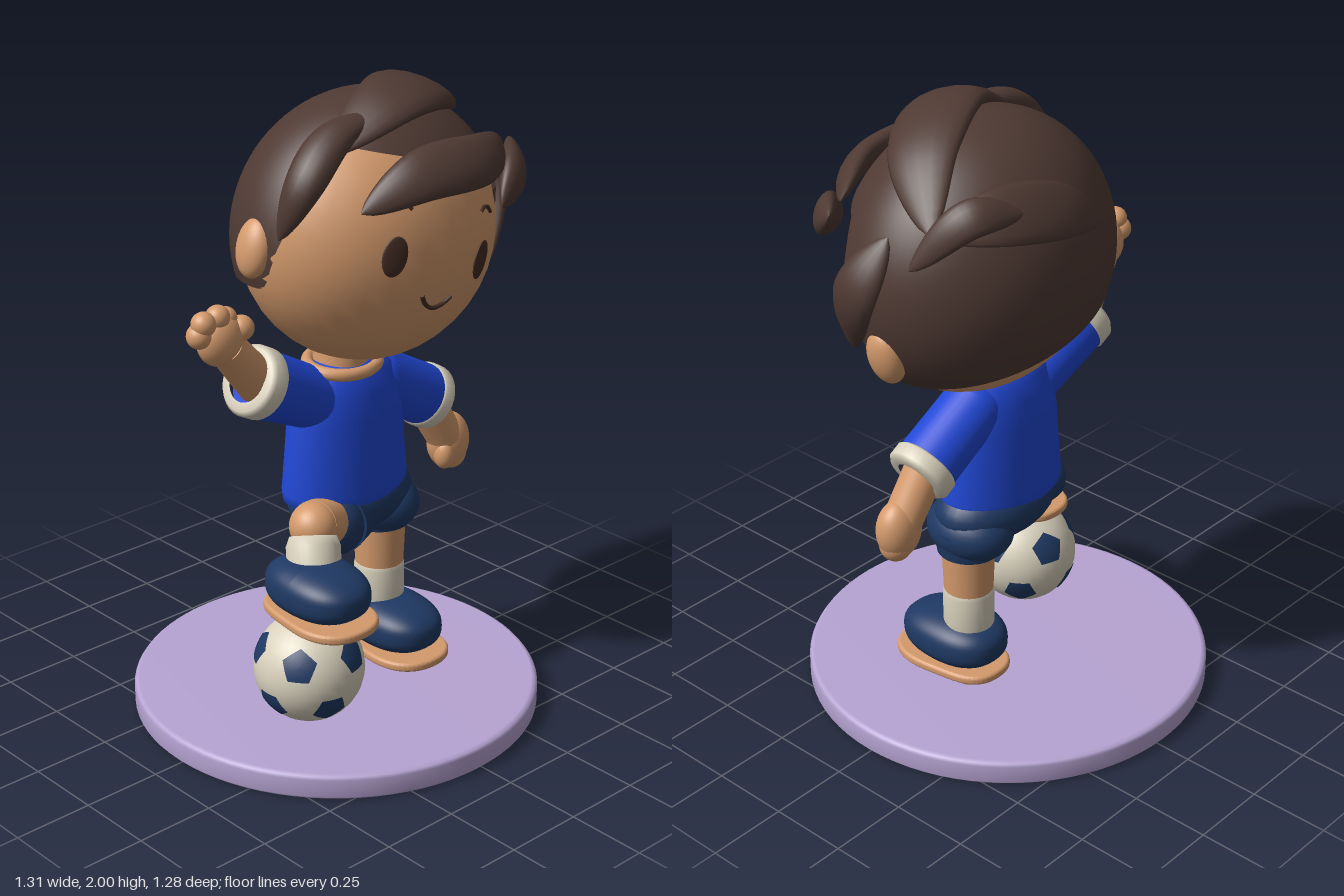
import * as THREE from 'three';

const mat = (name, color) => Object.assign(new THREE.MeshStandardMaterial({ color }), { name });
const V = (x, y, z) => new THREE.Vector3(x, y, z);

export function createModel() {
  const root = new THREE.Group();
  root.name = 'figurine';
  const skin = mat('skin', 0xd49a6c), hair = mat('hair brown', 0x4f3a33), dark = mat('face dark', 0x442c24);
  const blue = mat('shirt blue', 0x2148d6), navy = mat('navy', 0x1f3963), cream = mat('cream', 0xd9d1bd);
  const lilac = mat('base lilac', 0xb7a4d3);

  const add = (name, geo, m, parent = root) => {
    const mesh = new THREE.Mesh(geo, m);
    mesh.name = name;
    parent.add(mesh);
    return mesh;
  };
  const ball = (name, m, p, r, parent = root) => {
    const mesh = add(name, new THREE.SphereGeometry(1, 32, 20), m, parent);
    mesh.position.set(...p);
    mesh.scale.set(...(Array.isArray(r) ? r : [r, r, r]));
    return mesh;
  };
  // aligns a y-axis mesh with the line from a to b
  const span = (mesh, a, b) => {
    const d = V(...b).sub(V(...a));
    mesh.position.copy(V(...a)).addScaledVector(d, 0.5);
    mesh.quaternion.setFromUnitVectors(V(0, 1, 0), d.normalize());
    return mesh;
  };
  const limb = (name, m, a, b, ra, rb) =>
    span(add(name, new THREE.CylinderGeometry(rb, ra, V(...a).distanceTo(V(...b)), 32), m), a, b);
  // ring with a soft rectangular section
  const cuff = (name, a, b, r) => {
    const h = V(...a).distanceTo(V(...b)) / 2;
    const pts = [[r - 0.04, -h], [r - 0.012, -h], [r, -h * 0.6], [r, h * 0.6], [r - 0.012, h], [r - 0.04, h]];
    return span(add(name, new THREE.LatheGeometry(pts.map(p => new THREE.Vector2(...p)), 32), cream), a, b);
  };

  // display base
  const rim = [[0, 0], [0.628, 0], [0.638, 0.01], [0.638, 0.066], [0.632, 0.075], [0.62, 0.08], [0, 0.08]];
  add('base', new THREE.LatheGeometry(rim.map(p => new THREE.Vector2(...p)), 80), lilac).position.x = -0.018;

  // head, tilted toward its left
  const head = new THREE.Group();
  head.name = 'head';
  head.position.set(0.125, 1.52, -0.015);
  head.rotation.z = -0.25;
  root.add(head);
  const R = V(0.43, 0.4, 0.335);
  ball('skull', skin, [0, 0, 0], R.toArray(), head);
  const onFace = (x, y, lift = 0) => V(x, y, R.z * Math.sqrt(1 - (x / R.x) ** 2 - (y / R.y) ** 2) + lift);
  for (const s of [-1, 1]) {
    ball('ear', skin, [s * 0.43, -0.075, -0.01], [0.045, 0.09, 0.062], head);
    const eye = ball('eye', dark, onFace(s * 0.18, -0.02).toArray(), [0.04, 0.06, 0.008], head);
    eye.rotation.set(0.04, s * 0.34, 0);
    const brow = [-0.035, -0.012, 0.012, 0.035].map(d => onFace(s * 0.18 + d, 0.137 - d * d * 14, 0.002));
    add('eyebrow', new THREE.TubeGeometry(new THREE.CatmullRomCurve3(brow), 12, 0.006, 6), dark, head);
  }
  const smile = [-0.062, -0.035, 0, 0.035, 0.062].map(d => onFace(0.01 + d, -0.167 + d * d * 10, 0.002));
  add('mouth', new THREE.TubeGeometry(new THREE.CatmullRomCurve3(smile), 20, 0.007, 6), dark, head);

  // hair cap: ellipsoid whose lower edge rises over the face
  const C = V(0.447, 0.428, 0.36);
  const cap = new THREE.SphereGeometry(1, 72, 28);
  const pos = cap.attributes.position, uv = cap.attributes.uv, nor = cap.attributes.normal;
  for (let i = 0; i < pos.count; i++) {
    const phi = uv.getX(i) * Math.PI * 2, dx = -Math.cos(phi), dz = Math.sin(phi);
    const k = THREE.MathUtils.smoothstep(Math.acos(THREE.MathUtils.clamp(dz, -1, 1)), 0.95, 1.6);
    const row = Math.floor(i / 73), end = Math.acos(THREE.MathUtils.lerp(0.26, -0.195, k) / C.y);
    const th = end * Math.min(row / 27, 1), q = row === 28 ? 0.88 : 1;
    const p = V(Math.sin(th) * dx, Math.cos(th), Math.sin(th) * dz);
    const n = p.clone().divide(C).normalize();
    p.multiply(C);
    pos.setXYZ(i, p.x * q, p.y, p.z * q);
    nor.setXYZ(i, n.x, n.y, n.z);
  }
  // last row of the sphere is only triangulated on one side, so show both faces
  const capHair = hair.clone();
  hair.side = THREE.DoubleSide;
  capHair.copy(hair);
  add('hairCap', cap, hair, head);

  // leaf-shaped locks laid around the head
  const lock = (name, pts, width, thick) => {
    const curve = new THREE.CatmullRomCurve3(pts.map(p => V(...p)));
    const N = 24, M = 16, verts = [], idx = [];
    for (let i = 0; i <= N; i++) {
      const p = curve.getPoint(i / N), t = curve.getTangent(i / N);
      const n = p.clone().sub(head.position);
      n.addScaledVector(t, -n.dot(t)).normalize();
      const b = n.clone().cross(t), s = Math.max(0.004, Math.sin(Math.PI * i / N)) ** 0.65;
      for (let j = 0; j < M; j++) {
        const a = j / M * Math.PI * 2;
        verts.push(...p.clone().addScaledVector(b, width * s * Math.cos(a))
          .addScaledVector(n, thick * s * Math.sin(a)).toArray());
        if (i < N) {
          const q = i * M + j, r = i * M + (j + 1) % M;
          idx.push(q, r, q + M, r, r + M, q + M);
        }
      }
    }
    const g = new THREE.BufferGeometry();
    g.setAttribute('position', new THREE.Float32BufferAttribute(verts, 3));
    g.setIndex(idx);
    g.computeVertexNormals();
    add(name, g, hair);
  };
  lock('topLock', [[-0.17, 1.83, 0.13], [0.1, 1.945, 0.11], [0.33, 1.9, 0.0], [0.5, 1.75, -0.18]], 0.12, 0.045);
  lock('fringe', [[-0.14, 1.68, 0.24], [0.04, 1.765, 0.295], [0.28, 1.77, 0.295], [0.51, 1.76, 0.15]], 0.085, 0.042);
  lock('rightTempleLock', [[-0.31, 1.6, 0.08], [-0.26, 1.76, 0.13], [-0.14, 1.87, 0.12], [0.02, 1.92, 0.13]], 0.065, 0.045);
  lock('leftTempleLock', [[0.36, 1.61, 0.31], [0.47, 1.68, 0.25], [0.575, 1.74, 0.13]], 0.065, 0.035);
  lock('leftSideLock', [[0.55, 1.73, -0.07], [0.615, 1.56, 0.0], [0.54, 1.34, 0.09]], 0.075, 0.035);
  lock('backLock', [[0.5, 1.75, -0.18], [0.34, 1.78, -0.28], [0.1, 1.74, -0.32], [-0.16, 1.64, -0.275]], 0.09, 0.025);
  lock('crownLock', [[0.32, 1.81, -0.355], [0.46, 1.82, -0.29], [0.575, 1.67, -0.17]], 0.055, 0.025);

  // neck, shirt and collar
  limb('neck', skin, [0.015, 1.06, -0.02], [0.03, 1.25, -0.02], 0.088, 0.085);
  const body = [[0, 0.69], [0.205, 0.69], [0.222, 0.7], [0.225, 0.73], [0.214, 0.85], [0.205, 0.96], [0.19, 1.04], [0.165, 1.1], [0.13, 1.13], [0.08, 1.14]];
  const shirt = add('shirt', new THREE.LatheGeometry(body.map(p => new THREE.Vector2(...p)), 48), blue);
  shirt.position.set(0.035, 0, -0.018);
  shirt.scale.z = 0.65;
  const collar = add('collar', new THREE.TorusGeometry(0.115, 0.02, 12, 40), skin);
  collar.rotation.x = Math.PI / 2 + 0.1;
  collar.scale.y = 0.85;
  collar.position.set(0.018, 1.125, -0.01);

  // lowered left arm
  ball('leftShoulder', blue, [0.165, 1.03, -0.02], 0.095);
  limb('leftSleeve', blue, [0.165, 1.03, -0.02], [0.375, 0.91, -0.02], 0.095, 0.098);
  cuff('leftCuff', [0.355, 0.922, -0.02], [0.41, 0.89, -0.02], 0.104);
  limb('leftForearm', skin, [0.36, 0.91, -0.015], [0.455, 0.75, 0], 0.062, 0.06);
  ball('leftHand', skin, [0.467, 0.735, 0], [0.075, 0.095, 0.062]);
  ball('leftThumb', skin, [0.425, 0.705, 0.025], [0.032, 0.05, 0.035]);
  ball('leftFingers', skin, [0.48, 0.69, 0], [0.052, 0.055, 0.05]);

  // raised right arm
  ball('rightShoulder', blue, [-0.095, 1.03, -0.02], 0.095);
  limb('rightSleeve', blue, [-0.095, 1.03, -0.02], [-0.305, 1.135, -0.02], 0.095, 0.105);
  cuff('rightCuff', [-0.285, 1.125, -0.02], [-0.35, 1.16, -0.02], 0.11);
  limb('rightForearm', skin, [-0.31, 1.14, -0.02], [-0.455, 1.3, 0.01], 0.066, 0.056);
  ball('rightHand', skin, [-0.475, 1.325, 0.015], [0.078, 0.078, 0.055]);
  for (const [x, y, z, r] of [[-0.55, 1.355, 0.012, 0.038], [-0.54, 1.39, 0.02, 0.037], [-0.49, 1.4, 0.022, 0.036], [-0.45, 1.385, 0.01, 0.033], [-0.41, 1.35, 0.03, 0.038]])
    ball('rightFinger', skin, [x, y, z], r);

  // shorts and legs
  ball('shortsHips', navy, [0.06, 0.67, -0.02], [0.225, 0.115, 0.15]);
  ball('shortsLeftLeg', navy, [0.175, 0.615, -0.018], [0.12, 0.1, 0.145]);
  limb('shortsLeftHem', navy, [0.18, 0.54, -0.018], [0.18, 0.63, -0.018], 0.1, 0.115);
  limb('shortsRightLeg', navy, [0.04, 0.64, -0.01], [-0.07, 0.635, 0.045], 0.115, 0.11);
  ball('shortsRightHem', navy, [-0.065, 0.635, 0.04], [0.1, 0.11, 0.105]);
  limb('leftThigh', skin, [0.183, 0.4, -0.016], [0.183, 0.6, -0.016], 0.077, 0.085);
  cuff('leftSock', [0.183, 0.24, -0.016], [0.183, 0.425, -0.016], 0.08);
  limb('rightThigh', skin, [-0.06, 0.64, 0.04], [-0.195, 0.68, 0.095], 0.08, 0.075);
  ball('rightKnee', skin, [-0.195, 0.677, 0.095], 0.075);
  cuff('rightSock', [-0.255, 0.52, 0.165], [-0.212, 0.655, 0.11], 0.083);

  // boots: rounded upper, flared sole and studs
  const boot = (name, x, y, z) => {
    const g = new THREE.Group();
    g.name = name;
    g.position.set(x, y, z);
    root.add(g);
    const upper = new THREE.SphereGeometry(1, 40, 28), p = upper.attributes.position;
    const soft = (v, e) => Math.sign(v) * Math.abs(v) ** e;
    for (let i = 0; i < p.count; i++) {
      const zz = soft(p.getZ(i), 0.85), top = p.getY(i) > 0 ? 1 - 0.12 * Math.max(zz, 0) : 1;
      p.setXYZ(i, soft(p.getX(i), 0.85) * 0.126, soft(p.getY(i), 0.75) * 0.082 * top + 0.112, zz * 0.178);
    }
    upper.computeVertexNormals();
    add('upper', upper, navy, g);
    const s = new THREE.Shape();
    s.moveTo(0, -0.18);
    s.bezierCurveTo(0.1, -0.18, 0.1, -0.1, 0.115, 0);
    s.bezierCurveTo(0.135, 0.12, 0.09, 0.185, 0, 0.185);
    s.bezierCurveTo(-0.09, 0.185, -0.135, 0.12, -0.115, 0);
    s.bezierCurveTo(-0.1, -0.1, -0.1, -0.18, 0, -0.18);
    const sole = new THREE.ExtrudeGeometry(s, { depth: 0.008, bevelSize: 0.011, bevelThickness: 0.011, bevelSegments: 4, curveSegments: 16 });
    sole.rotateX(Math.PI / 2);
    add('sole', sole, skin, g).position.set(0, 0.031, 0.005);
    for (const [sx, sz] of [[-0.06, 0.1], [0.06, 0.1], [-0.055, -0.1], [0.055, -0.1]])
      add('stud', new THREE.CylinderGeometry(0.025, 0.018, 0.025, 16), skin, g).position.set(sx, 0.002, sz);
  };
  boot('leftBoot', 0.185, 0.098, 0.04);
  boot('rightBoot', -0.265, 0.42, 0.19);

  // football: sphere with twelve curved five-sided patches
  const football = new THREE.Group();
  football.name = 'football';
  football.position.set(-0.265, 0.252, 0.15);
  root.add(football);
  const r = 0.17, A = V(0.28, 0.44, 0.85).normalize();
  ball('ballSkin', cream, [0, 0, 0], r, football);
  const B = V(-0.25, -0.44, 0.86).projectOnPlane(A).normalize();
  const dirs = [A];
  for (let i = 0; i < 5; i++)
    dirs.push(A.clone().multiplyScalar(1 / Math.sqrt(5)).addScaledVector(B.clone().applyAxisAngle(A, i * Math.PI * 0.4), 2 / Math.sqrt(5)));
  dirs.push(...dirs.map(d => d.clone().negate()));
  const patch = new THREE.RingGeometry(0.0001, 1, 40, 5), pp = patch.attributes.position;
  for (let i = 0; i < pp.count; i++) {
    const x = pp.getX(i), y = pp.getY(i), step = Math.PI * 0.4;
    const a = (Math.atan2(y, x) + Math.PI * 4 + 1e-6) % step - step / 2;
    const q = 0.34 * Math.cos(step / 2) / Math.cos(a);
    const p = V(x * q, y * q, 1).setLength(r * 1.008);
    pp.setXYZ(i, p.x, p.y, p.z);
  }
  patch.computeVertexNormals();
  for (const d of dirs) {
    const near = dirs.find(e => Math.abs(e.dot(d) - 0.447) < 0.01);
    const u = near.clone().projectOnPlane(d).normalize();
    add('ballPatch', patch, navy, football).quaternion.setFromRotationMatrix(
      new THREE.Matrix4().makeBasis(u, d.clone().cross(u), d));
  }
  return root;
}
